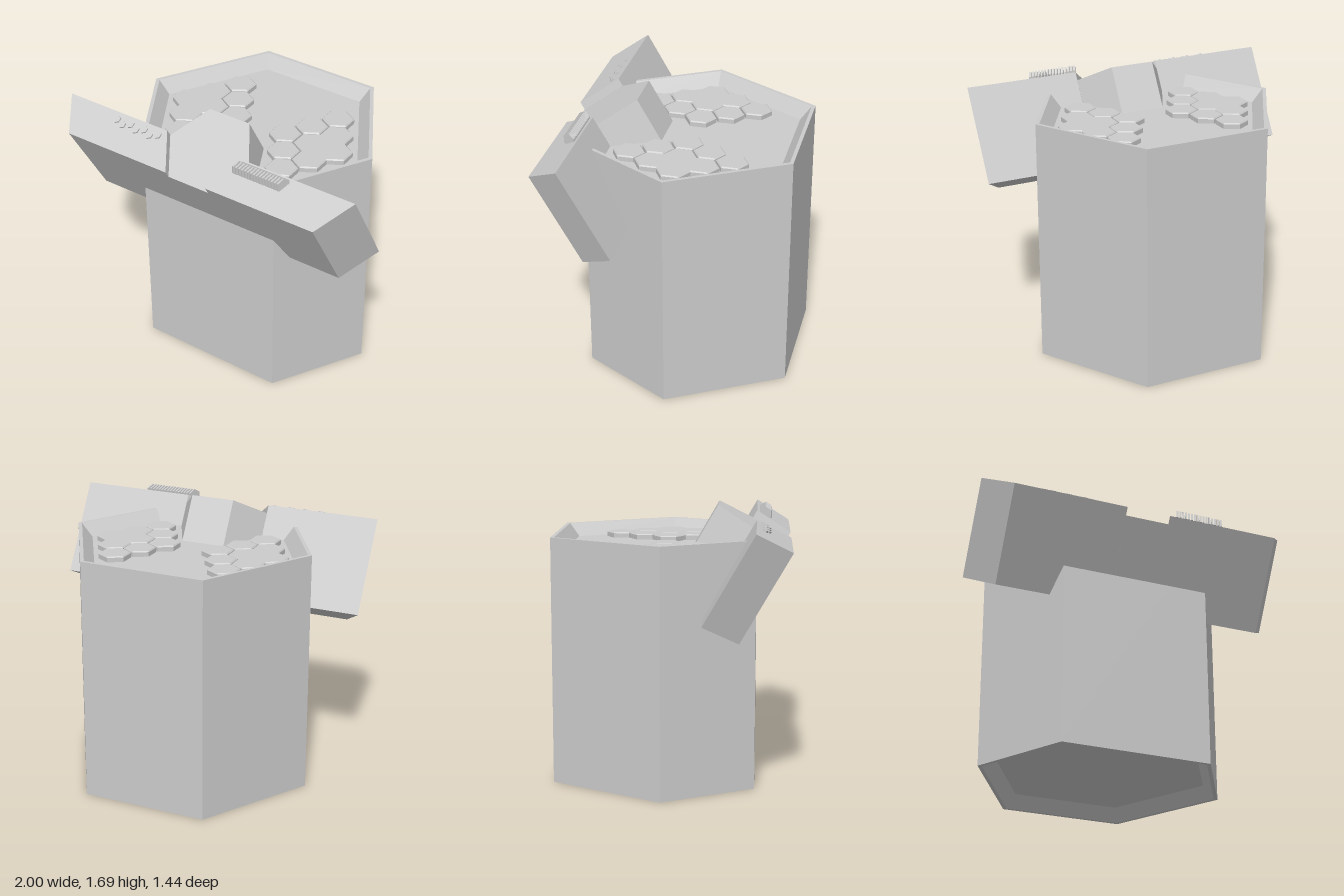
import * as THREE from 'three';

const grey = new THREE.MeshStandardMaterial({ color: 0xcccccc, flatShading: true });

function add(parent, name, geometry, x = 0, y = 0, z = 0) {
  const mesh = new THREE.Mesh(geometry, grey);
  mesh.name = name;
  mesh.position.set(x, y, z);
  parent.add(mesh);
  return mesh;
}

// Upright prism from a plan outline of [x, z] points, standing on y = 0
function prism(points, height, bevel = 0) {
  const shape = new THREE.Shape(points.map(([x, z]) => new THREE.Vector2(x, -z)));
  const geometry = new THREE.ExtrudeGeometry(shape, {
    depth: height - bevel, bevelEnabled: bevel > 0, bevelSize: bevel,
    bevelThickness: bevel, bevelOffset: -bevel, bevelSegments: 1,
  });
  return geometry.rotateX(-Math.PI / 2);
}

// Hexagon outline; turn = 0 puts corners on the x axis
function hexagon(r, turn = 0) {
  return Array.from({ length: 6 }, (_, i) => {
    const a = turn + (i * Math.PI) / 3;
    return [r * Math.cos(a), r * Math.sin(a)];
  });
}

// Hexagonal body with its front cut flat, and a shallow tray at both ends
function columnGeometry() {
  const rings = [[0.085, 0.08], [0.022, 0], [0, 0], [0, 1.51], [0.022, 1.51], [0.085, 1.43]];
  const pos = [];
  for (const [inset, y] of rings) {
    const a = 0.68 - inset, r = (a * 2) / Math.sqrt(3);
    const f = 0.55 - inset, xf = r - f / Math.sqrt(3);
    for (const [x, z] of [[r, 0], [r / 2, -a], [-r / 2, -a], [-r, 0], [-xf, f], [xf, f]])
      pos.push(x, y, z - 0.04);
  }
  const index = [];
  for (let k = 0; k < rings.length - 1; k++)
    for (let i = 0; i < 6; i++) {
      const a = k * 6 + i, b = k * 6 + ((i + 1) % 6);
      index.push(a, b, b + 6, a, b + 6, a + 6);
    }
  const top = (rings.length - 1) * 6;
  for (let i = 1; i < 5; i++) index.push(0, i + 1, i, top, top + i, top + i + 1);
  const indexed = new THREE.BufferGeometry();
  indexed.setAttribute('position', new THREE.Float32BufferAttribute(pos, 3));
  indexed.setIndex(index);
  const geometry = indexed.toNonIndexed();
  geometry.computeVertexNormals();
  return geometry;
}

// Five single keys around one large key made of four joined cells
function keyCluster(side) {
  const group = new THREE.Group();
  group.name = side > 0 ? 'leftKeys' : 'rightKeys';
  const a = 0.09, h = 0.052, floor = 1.43, zc = -0.044;
  const small = prism(hexagon(0.098, Math.PI / 6), 0.035, 0.007);
  for (let i = -2; i <= 2; i++)
    add(group, 'key', small, side * (0.18 + Math.abs(i) * a), floor, zc + i * 3 * h);
  const half = [[0, -5], [1, -4], [1, -2], [2, -1], [2, 1], [1, 2], [1, 4]];
  const outline = [...half, ...half.map(([x, z]) => [-x, -z])];
  const large = prism(outline.map(([x, z]) => [x * a * 0.97, z * h * 0.98]), 0.035, 0.007);
  add(group, 'largeKey', large, side * 0.448, floor, zc);
  return group;
}

export function createModel() {
  const model = new THREE.Group();
  model.name = 'hexagonalConsole';

  add(model, 'column', columnGeometry());
  model.add(keyCluster(1), keyCluster(-1));

  // Tilted console: local y runs up its slope, local z points out of its face
  const console_ = new THREE.Group();
  console_.name = 'tiltedConsole';
  console_.position.set(0, 1.61, 0.51);
  console_.rotation.x = Math.PI / 6;
  model.add(console_);

  const depth = 0.242, length = 0.605;
  for (const s of [1, -1]) {
    const outline = [[0.28, 0], [1, 0], [0.86, depth], [0.14, depth]].map(([x, z]) => [s * x, z]);
    add(console_, s > 0 ? 'leftWing' : 'rightWing', prism(outline, length), 0, -length, 0);
  }

  // Hexagonal block fills the gap between the wings, a little lower than them
  add(console_, 'centreBlock', prism(hexagon(depth * 2 / Math.sqrt(3)), length - 0.052), 0, -length, 0);

  // Zigzag row of small studs on the right wing
  const stud = prism(hexagon(0.026, Math.PI / 6), 0.01);
  for (let i = 0; i < 7; i++)
    add(console_, 'stud', stud, -0.62 + i * 0.05, 0, 0.058 + (i % 2 ? 0.01 : -0.01));

  // Slanted row of upright hexagonal fins on the left wing
  const fin = new THREE.CylinderGeometry(0.045, 0.045, 0.012, 6);
  fin.rotateY(Math.PI / 6).rotateZ(Math.PI / 2).rotateY(-0.45);
  for (let i = 0; i < 16; i++)
    add(model, 'fin', fin, 0.265 + i * 0.02, 1.592, 0.565);

  return model;
}
